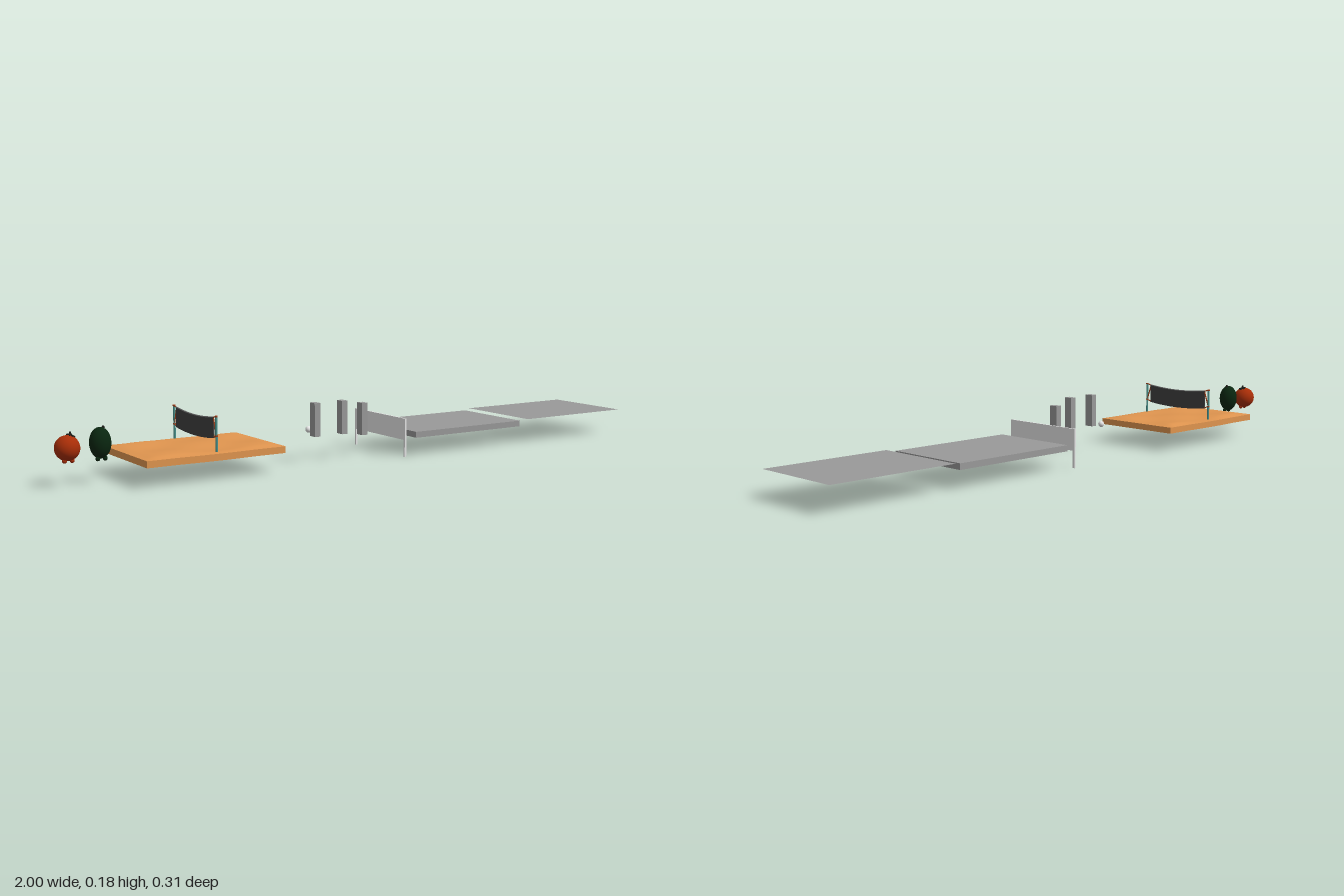
import * as THREE from 'three';

const mat = (name, color, side = THREE.FrontSide) => {
  const m = new THREE.MeshStandardMaterial({ color, side });
  m.name = name;
  return m;
};

export function createModel() {
  const M = {
    sand: mat('sand', 0xe0954f),
    gray: mat('gray', 0x999999, THREE.DoubleSide),
    white: mat('white', 0xe6e6e6, THREE.DoubleSide),
    net: mat('netting', 0x404040),
    tape: mat('netTape', 0x6a6a6a),
    teal: mat('tealPost', 0x4a928c),
    rope: mat('rope', 0xa0401c),
    red: mat('redFruit', 0xa82e08),
    green: mat('greenFruit', 0x0a2610),
    dark: mat('darkStem', 0x1c1c18),
  };
  const root = new THREE.Group();
  root.name = 'volleyballSet';

  const add = (name, geo, material, x = 0, y = 0, z = 0, parent = root) => {
    const mesh = new THREE.Mesh(geo, material);
    mesh.name = name;
    mesh.position.set(x, y, z);
    parent.add(mesh);
    return mesh;
  };
  // Box given by its ranges along each axis
  const box = (name, material, [x0, x1], [y0, y1], [z0, z1]) =>
    add(name, new THREE.BoxGeometry(x1 - x0, y1 - y0, z1 - z0), material,
      (x0 + x1) / 2, (y0 + y1) / 2, (z0 + z1) / 2);
  // Thin rod between two points
  const rod = (name, material, a, b, r, parent) => {
    const p = new THREE.Vector3(...a), q = new THREE.Vector3(...b);
    return add(name, new THREE.TubeGeometry(new THREE.LineCurve3(p, q), 1, r, 6), material, 0, 0, 0, parent);
  };

  // Sand court: gently rippled top, slightly bulging long sides
  const sandGeo = new THREE.BoxGeometry(0.44, 0.02, 0.306, 40, 1, 28);
  const sp = sandGeo.attributes.position;
  for (let i = 0; i < sp.count; i++) {
    const x = sp.getX(i), z = sp.getZ(i);
    const u = Math.min(1, (0.22 - Math.abs(x)) / 0.03), v = Math.min(1, (0.153 - Math.abs(z)) / 0.03);
    if (sp.getY(i) > 0) {
      const ripple = 0.004 + 0.003 * Math.sin(x * 22 + 1) * Math.cos(z * 30 + 0.5);
      sp.setY(i, 0.01 + ripple * u * v);
    }
    sp.setZ(i, z * (1 + 0.025 * Math.max(0, 1 - (x / 0.12) ** 2)));
  }
  sandGeo.computeVertexNormals();
  add('sandCourt', sandGeo, M.sand, -0.575, 0.068, 0);
  add('courtPlug', new THREE.CylinderGeometry(0.005, 0.005, 0.006, 12), M.teal, -0.575, 0.0555, 0);

  // Sagging net between two posts
  const net = new THREE.Group();
  net.name = 'courtNet';
  net.position.x = -0.573;
  root.add(net);
  const topY = z => 0.170 + 0.008 * (z / 0.122) ** 2;
  const netGeo = new THREE.BoxGeometry(0.004, 0.06, 0.244, 1, 1, 16);
  const np = netGeo.attributes.position;
  for (let i = 0; i < np.count; i++) np.setY(i, np.getY(i) - 0.03 + topY(np.getZ(i)));
  netGeo.computeVertexNormals();
  add('netting', netGeo, M.net, 0, 0, 0, net);
  const tapePath = new THREE.CatmullRomCurve3(
    [-0.122, -0.06, 0, 0.06, 0.122].map(z => new THREE.Vector3(0, topY(z), z)));
  add('netTape', new THREE.TubeGeometry(tapePath, 16, 0.0025, 6), M.tape, 0, 0, 0, net);
  for (const s of [-1, 1]) {
    add('netPost', new THREE.CylinderGeometry(0.0035, 0.0035, 0.102, 12), M.teal, 0, 0.132, s * 0.138, net);
    for (const y of [0.182, 0.126])
      add('ropeRing', new THREE.CylinderGeometry(0.0044, 0.0044, 0.004, 12), M.rope, 0, y, s * 0.138, net);
    for (const [py, ny] of [[0.182, 0.178], [0.126, 0.175], [0.126, 0.12]])
      rod('netRope', M.rope, [0, py, s * 0.138], [0, ny, s * 0.121], 0.002, net);
  }

  // Fruit with an off-centre stem and little feet
  const fruit = (name, material, x, y, rx, ry, stemH) => {
    const g = new THREE.Group();
    g.name = name;
    g.position.set(x, y, 0);
    root.add(g);
    const body = add('fruitBody', new THREE.SphereGeometry(1, 28, 20), material, 0, 0, 0, g);
    body.scale.set(rx, ry, rx);
    add('stem', new THREE.CylinderGeometry(0.003, 0.005, stemH, 8), M.dark, 0.01, ry + stemH / 2 - 0.004, 0, g);
    for (const s of [-1, 1])
      add('foot', new THREE.SphereGeometry(0.007, 10, 8), material, s * 0.011, -ry + 0.001, 0.006, g);
    return g;
  };
  const redFruit = fruit('redFruit', M.red, -0.964, 0.109, 0.036, 0.036, 0.013);
  for (let i = 0; i < 5; i++) {
    const a = i * Math.PI * 2 / 5;
    rod('leaf', M.dark, [0.012, 0.036, 0], [0.012 + 0.012 * Math.cos(a), 0.033 - 0.005 * Math.cos(a), 0.012 * Math.sin(a)], 0.003, redFruit);
  }
  fruit('greenFruit', M.green, -0.867, 0.115, 0.031, 0.045, 0.007);

  // Ball and three upright blocks
  add('ball', new THREE.SphereGeometry(0.01, 20, 14), M.white, -0.183, 0.093, 0);
  for (const x of [-0.194, -0.095]) box('uprightBlock', M.gray, [x - 0.01, x + 0.01], [0.08, 0.184], [0.043, 0.072]);
  box('uprightBlock', M.gray, [-0.016, 0.004], [0.066, 0.168], [0.022, 0.05]);

  // Plain net panel on two legs
  box('netPanel', M.white, [0.083, 0.089], [0.054, 0.122], [-0.141, 0.143]);
  for (const z of [-0.1375, 0.1395])
    add('panelLeg', new THREE.BoxGeometry(0.006, 0.054, 0.007), M.white, 0.086, 0.027, z);

  // Plain slab and flat sheet
  box('courtSlab', M.gray, [0.125, 0.553], [0.058, 0.077], [-0.146, 0.146]);
  const sheet = add('flatSheet', new THREE.PlaneGeometry(0.42, 0.314), M.gray, 0.789, 0.081, 0);
  sheet.rotation.x = -Math.PI / 2;

  return root;
}
